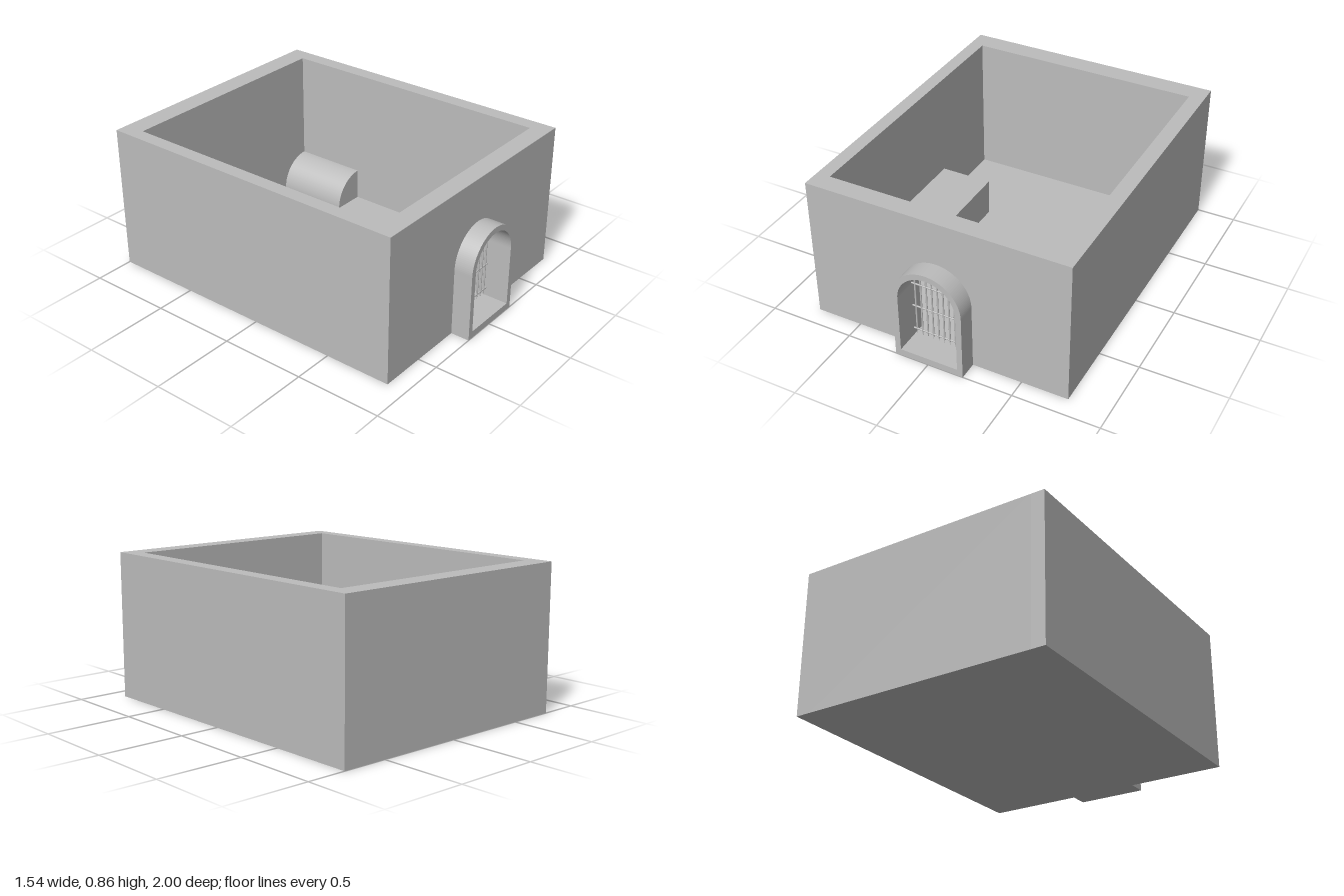
import * as THREE from 'three';

export function createModel() {
  const root = new THREE.Group();
  root.name = 'cellRoom';
  const stone = new THREE.MeshStandardMaterial({ color: 0xbcbcbc });
  stone.name = 'grey stone';

  const add = (name, geometry, parent = root) => {
    const mesh = new THREE.Mesh(geometry, stone);
    mesh.name = name;
    parent.add(mesh);
    return mesh;
  };
  // Box given by its limits on each axis
  const block = (name, x0, x1, y0, y1, z0, z1) =>
    add(name, new THREE.BoxGeometry(x1 - x0, y1 - y0, z1 - z0))
      .position.set((x0 + x1) / 2, (y0 + y1) / 2, (z0 + z1) / 2);

  const W = 0.77, H = 0.855, backZ = -1, frontZ = 0.89;
  const inL = -0.69, inR = 0.68, inBack = -0.875, inFront = 0.78;
  const doorX = 0.006, springY = 0.393, doorR = 0.172, frameR = 0.205, sillY = 0.04;

  // Round-headed outline for the doorway and its surround
  const archOutline = (target, r, bottom) => {
    target.moveTo(doorX - r, bottom);
    target.lineTo(doorX + r, bottom);
    target.lineTo(doorX + r, springY);
    target.absarc(doorX, springY, r, 0, Math.PI, false);
    target.closePath();
    return target;
  };
  const extrudeWithDoor = (name, shape, z0, z1) => {
    shape.holes.push(archOutline(new THREE.Path(), doorR, sillY));
    add(name, new THREE.ExtrudeGeometry(shape, {
      depth: z1 - z0, bevelEnabled: false, curveSegments: 32,
    })).position.z = z0;
  };

  // Room shell, open at the top
  block('leftSideWall', inR, W, 0, H, backZ, inFront);
  block('rightSideWall', -W, inL, 0, H, backZ, inFront);
  block('backWall', inL, inR, 0, H, backZ, inBack);
  block('floor', inL, inR, 0, 0.01, inBack, inFront);
  const wall = new THREE.Shape([[-W, 0], [W, 0], [W, H], [-W, H]].map(p => new THREE.Vector2(...p)));
  extrudeWithDoor('frontWall', wall, inFront, frontZ);
  extrudeWithDoor('doorSurround', archOutline(new THREE.Shape(), frameR, 0), frontZ, 1);

  // Sleeping slab against one wall
  block('sleepingSlab', inL, -0.375, 0.01, 0.235, -0.365, 0.25);

  // Round-edged ledge in the back corner
  const ledge = new THREE.Shape();
  ledge.moveTo(inR, 0.01);
  ledge.lineTo(inR, 0.2);
  ledge.absellipse(inR, 0.01, inR - 0.49, 0.19, Math.PI / 2, Math.PI, false);
  ledge.closePath();
  add('cornerLedge', new THREE.ExtrudeGeometry(ledge, {
    depth: 0.445, bevelEnabled: false, curveSegments: 20,
  })).position.z = inBack;

  // Portcullis: spiked uprights and crossbars
  const gate = new THREE.Group();
  gate.name = 'portcullis';
  gate.position.z = 0.86;
  root.add(gate);
  const archHalf = y => Math.sqrt(doorR ** 2 - Math.max(0, y - springY) ** 2);
  const barR = 0.005, spikeTop = 0.088, spikeTip = 0.05;
  for (let i = 0; i < 10; i++) {
    const dx = (i - 4.5) * 0.0338;
    const top = springY + Math.sqrt(doorR ** 2 - dx ** 2) + 0.004;
    const bar = add('gateBar', new THREE.CylinderGeometry(barR, barR, top - spikeTop, 10), gate);
    bar.position.set(doorX + dx, (top + spikeTop) / 2, 0);
    const spike = add('gateSpike', new THREE.ConeGeometry(barR, spikeTop - spikeTip, 10), gate);
    spike.rotation.x = Math.PI;
    spike.position.set(doorX + dx, (spikeTop + spikeTip) / 2, 0);
  }
  for (const y of [0.088, 0.245, 0.397, 0.55]) {
    const bar = add('gateCrossbar', new THREE.CylinderGeometry(barR, barR, 2 * archHalf(y) + 0.008, 10), gate);
    bar.rotation.z = Math.PI / 2;
    bar.position.set(doorX, y, 0);
  }
  return root;
}
